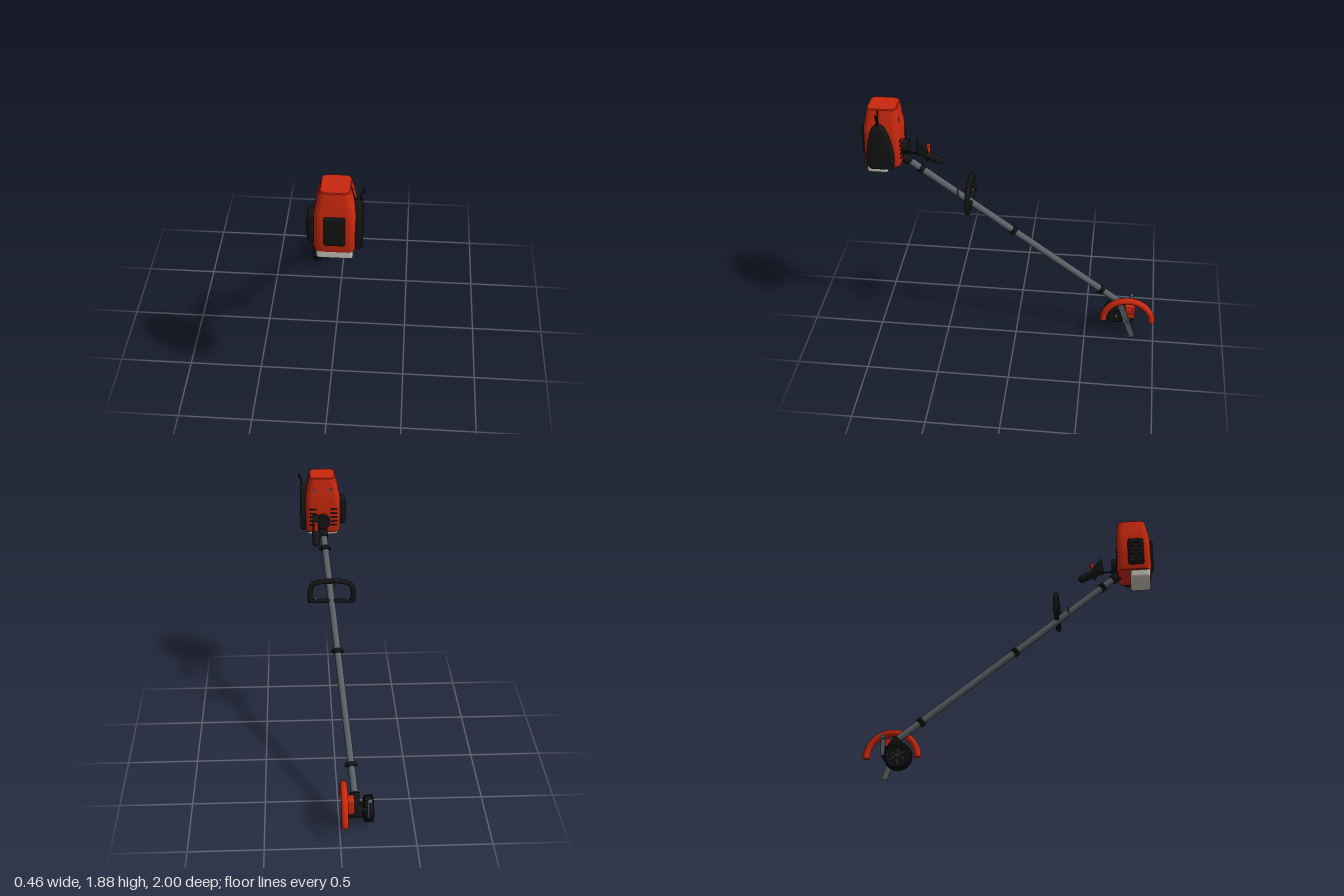
import * as THREE from 'three';
import { toCreasedNormals } from 'three/addons/utils/BufferGeometryUtils.js';
import { RoundedBoxGeometry } from 'three/addons/geometries/RoundedBoxGeometry.js';

const mat = (name, color) => Object.assign(new THREE.MeshStandardMaterial({ color }), { name });
const V = (x, y, z) => new THREE.Vector3(x, y, z);

export function createModel() {
  const red = mat('red shell', 0xcb280e);
  const black = mat('black plastic', 0x141414);
  const steel = mat('grey steel', 0x596065);
  const tankWhite = mat('tank off-white', 0xcbc9c0);
  const hubGrey = mat('dark hub', 0x2b2d2f);

  const model = new THREE.Group();
  const add = (name, geo, material, pos = [0, 0, 0], parent = model) => {
    const m = new THREE.Mesh(geo, material);
    m.name = name;
    m.position.set(...pos);
    parent.add(m);
    return m;
  };
  const box = (name, material, size, pos, r = 0.012, parent = model) =>
    add(name, new RoundedBoxGeometry(...size, 3, r), material, pos, parent);
  // cylinder between two points
  const rod = (name, material, a, b, r, parent = model, sides = 24) => {
    const d = b.clone().sub(a);
    const m = add(name, new THREE.CylinderGeometry(r, r, d.length(), sides), material, a.clone().add(b).multiplyScalar(0.5).toArray(), parent);
    m.quaternion.setFromUnitVectors(V(0, 1, 0), d.normalize());
    return m;
  };
  // outline given in (z, y), extruded along +x from x0
  const sidePlate = (name, material, shape, x0, depth, bevel = 0) => {
    const g = new THREE.ExtrudeGeometry(shape, {
      depth: depth - 2 * bevel, bevelEnabled: bevel > 0, bevelSize: bevel, bevelOffset: -bevel,
      bevelThickness: bevel, bevelSegments: 4, curveSegments: 16,
    });
    g.rotateY(Math.PI / 2);
    return add(name, toCreasedNormals(g, 0.6), material, [x0 + bevel, 0, 0]);
  };
  // rounded-rectangle rings [y, x0, x1, z0, z1, cornerRadius] joined upward and capped
  const loft = (rings) => {
    const n = 8, pos = [], idx = [], count = n * 4;
    for (const [y, x0, x1, z0, z1, r] of rings)
      for (let c = 0; c < 4; c++)
        for (let i = 0; i < n; i++) {
          const a = (c + i / (n - 1)) * Math.PI / 2;
          const cx = c === 0 || c === 3 ? x1 - r : x0 + r, cz = c < 2 ? z1 - r : z0 + r;
          pos.push(cx + r * Math.cos(a), y, cz + r * Math.sin(a));
        }
    for (let k = 0; k < rings.length - 1; k++)
      for (let i = 0; i < count; i++) {
        const a = k * count + i, b = k * count + (i + 1) % count;
        idx.push(a, a + count, b, b, a + count, b + count);
      }
    const top = (rings.length - 1) * count;
    for (let i = 1; i < count - 1; i++) idx.push(0, i, i + 1, top, top + i + 1, top + i);
    const g = new THREE.BufferGeometry();
    g.setAttribute('position', new THREE.Float32BufferAttribute(pos, 3));
    g.setIndex(idx);
    return toCreasedNormals(g, 0.6);
  };

  // Engine housing and fuel tank
  add('engineHousing', loft([
    [1.465, -0.05, 0.16, 0.76, 0.96, 0.035],
    [1.472, -0.064, 0.174, 0.747, 0.975, 0.04],
    [1.49, -0.07, 0.18, 0.74, 0.98, 0.045],
    [1.72, -0.068, 0.178, 0.742, 0.977, 0.045],
    [1.76, -0.062, 0.173, 0.744, 0.973, 0.045],
    [1.875, -0.033, 0.148, 0.755, 0.95, 0.04],
    [1.88, -0.027, 0.142, 0.761, 0.944, 0.035],
  ]), red);
  box('fuelTank', tankWhite, [0.22, 0.075, 0.14], [0.055, 1.45, 0.9], 0.02);
  box('frontGrille', black, [0.125, 0.2, 0.03], [0.057, 1.63, 0.982]);
  box('airFilter', black, [0.05, 0.195, 0.11], [-0.086, 1.6, 0.875], 0.018);
  for (let i = 0; i < 5; i++)
    box('filterRib', black, [0.006, 0.008, 0.08], [-0.111, 1.54 + i * 0.03, 0.875], 0.002);

  // Teardrop side cover
  const tear = new THREE.Shape();
  tear.moveTo(-0.92, 1.47);
  tear.lineTo(-0.81, 1.47);
  tear.bezierCurveTo(-0.77, 1.47, -0.77, 1.54, -0.782, 1.61);
  tear.bezierCurveTo(-0.8, 1.72, -0.825, 1.79, -0.868, 1.79);
  tear.bezierCurveTo(-0.915, 1.79, -0.935, 1.72, -0.948, 1.61);
  tear.bezierCurveTo(-0.96, 1.54, -0.96, 1.47, -0.92, 1.47);
  sidePlate('sideCover', black, tear, 0.165, 0.052, 0.015);

  // Hooked lever and seam above the side cover
  rod('leverArm', black, V(0.2, 1.74, 0.87), V(0.207, 1.83, 0.87), 0.006);
  rod('leverTip', black, V(0.207, 1.83, 0.87), V(0.225, 1.873, 0.87), 0.006);
  rod('leverHook', black, V(0.207, 1.83, 0.87), V(0.222, 1.842, 0.87), 0.005);
  rod('housingSeam', black, V(0.176, 1.755, 0.873), V(0.147, 1.877, 0.873), 0.005);

  // Rear cooling slots and screws
  for (let i = 0; i < 5; i++)
    for (const x of [-0.022, 0.125])
      box('coolingSlot', black, [0.05, 0.011, 0.008], [x, 1.53 + i * 0.03, 0.741], 0.003);
  for (const x of [0, 0.11])
    box('rearScrew', steel, [0.016, 0.03, 0.008], [x, 1.79, 0.748], 0.003);

  // Drive shaft with clamps
  const shaftAt = (z) => V(-0.02 + 0.105 * (z - 0.02), 0.895 + 0.82 * (z - 0.02), z);
  const axis = V(0.105, 0.82, 1).normalize();
  rod('shaft', steel, shaftAt(-0.75), shaftAt(0.76), 0.024);
  for (const z of [0.63, 0.02, -0.605]) {
    const p = shaftAt(z);
    rod('clamp', black, p.clone().addScaledVector(axis, -0.016), p.clone().addScaledVector(axis, 0.016), 0.031);
    rod('clampBolt', black, p.clone().add(V(-0.042, 0, 0)), p.clone().add(V(0.045, 0, 0)), 0.011, model, 12);
  }
  rod('clutchNeck', black, V(0.055, 1.565, 0.7), V(0.055, 1.565, 0.75), 0.05);
  rod('clutchCollar', black, shaftAt(0.7), shaftAt(0.76), 0.032);

  // Loop handle
  const loop = new THREE.CatmullRomCurve3([
    V(-0.14, 1.14, 0.31), V(-0.143, 1.2, 0.31), V(-0.125, 1.262, 0.31), V(-0.075, 1.287, 0.31), V(0.01, 1.293, 0.31),
    V(0.095, 1.287, 0.31), V(0.145, 1.262, 0.31), V(0.163, 1.2, 0.31), V(0.16, 1.14, 0.31)]);
  add('loopHandle', new THREE.TubeGeometry(loop, 48, 0.018, 12), black);
  box('handleBar', black, [0.335, 0.022, 0.032], [0.01, 1.14, 0.31], 0.008);
  for (const x of [-0.1, 0.12]) rod('handleBolt', steel, V(x, 1.14, 0.31), V(x, 1.165, 0.31), 0.009, model, 12);
  add('hangingRing', new THREE.TorusGeometry(0.036, 0.005, 8, 32), steel, [0.018, 1.215, 0.39]);

  // Throttle grip
  const guard = new THREE.Shape([[-0.645, 1.545], [-0.575, 1.545], [-0.56, 1.58], [-0.632, 1.66]].map(p => new THREE.Vector2(...p)));
  sidePlate('throttleGuard', black, guard, 0.088, 0.045, 0.006);
  const grip = add('throttleGrip', new THREE.CapsuleGeometry(0.027, 0.105, 6, 16), black, [0.11, 1.528, 0.535]);
  grip.rotation.x = Math.atan2(0.13, 0.06);
  rod('throttleButton', red, V(0.11, 1.56, 0.565), V(0.11, 1.622, 0.56), 0.014, model, 16);
  rod('throttleTrigger', black, V(0.11, 1.54, 0.6), V(0.11, 1.5, 0.57), 0.01, model, 12);
  rod('throttleLink', black, V(0.12, 1.56, 0.75), V(0.112, 1.552, 0.63), 0.006, model, 12);

  // Gearbox
  rod('gearbox', black, V(-0.15, 0.157, -0.81), V(-0.055, 0.157, -0.81), 0.046);
  rod('gearboxInput', black, shaftAt(-0.75), V(-0.1, 0.17, -0.81), 0.034);
  box('gearboxCover', red, [0.055, 0.11, 0.075], [-0.068, 0.217, -0.82], 0.01);
  rod('bladeSpindle', steel, V(-0.07, 0.157, -0.81), V(-0.008, 0.157, -0.81), 0.014);
  rod('spindleWasher', steel, V(-0.035, 0.157, -0.8), V(-0.018, 0.157, -0.8), 0.026);

  // Cutting blade
  const blade = add('cuttingBlade', new THREE.BoxGeometry(0.009, 0.305, 0.042), steel, [-0.025, 0.155, -0.8]);
  blade.rotation.x = Math.atan2(0.1, 0.29);

  // Arched guard with flat ends
  const arch = new THREE.TorusGeometry(0.174, 0.024, 16, 48, Math.PI);
  arch.rotateY(Math.PI / 2);
  add('bladeGuard', arch, red, [-0.028, 0.16, -0.805]);
  for (const s of [-1, 1]) {
    const cap = new THREE.CircleGeometry(0.024, 16);
    cap.rotateX(Math.PI / 2);
    add('guardEnd', cap, red, [-0.028, 0.16, -0.805 + s * 0.174]);
  }
  box('guardBracket', red, [0.04, 0.05, 0.05], [-0.045, 0.24, -0.815], 0.008);

  // Support wheel with tread blocks and spokes
  const wheel = new THREE.Group();
  wheel.name = 'supportWheel';
  wheel.position.set(-0.197, 0.108, -0.725);
  model.add(wheel);
  const tyre = [[0.055, -0.028], [0.075, -0.034], [0.086, -0.029], [0.089, -0.018], [0.089, 0.018], [0.086, 0.029], [0.075, 0.034], [0.055, 0.028], [0.055, -0.028]];
  const tyreGeo = new THREE.LatheGeometry(tyre.map(p => new THREE.Vector2(...p)), 40);
  tyreGeo.rotateZ(Math.PI / 2);
  add('tyre', toCreasedNormals(tyreGeo, 0.6), black, [0, 0, 0], wheel);
  rod('rimDisc', black, V(-0.016, 0, 0), V(0.016, 0, 0), 0.057, wheel, 32);
  rod('hub', hubGrey, V(-0.034, 0, 0), V(0.034, 0, 0), 0.017, wheel);
  for (let i = 0; i < 24; i++) {
    const a = i / 24 * Math.PI * 2;
    const t = add('treadBlock', new THREE.BoxGeometry(0.05, 0.006, 0.013), black, [0, Math.cos(a) * 0.089, Math.sin(a) * 0.089], wheel);
    t.rotation.x = a;
  }
  for (let i = 0; i < 6; i++) {
    const a = i / 6 * Math.PI * 2;
    const s = add('spoke', new THREE.BoxGeometry(0.042, 0.042, 0.01), hubGrey, [0, Math.cos(a) * 0.034, Math.sin(a) * 0.034], wheel);
    s.rotation.x = a;
  }

  // Wheel axle and height adjuster
  rod('wheelAxle', steel, V(-0.2, 0.108, -0.725), V(-0.12, 0.108, -0.725), 0.01);
  box('axleArm', black, [0.016, 0.04, 0.12], [-0.145, 0.13, -0.765], 0.006);
  box('adjusterPlate', steel, [0.014, 0.13, 0.03], [-0.19, 0.185, -0.83], 0.004);
  rod('adjusterLink', black, V(-0.19, 0.175, -0.825), V(-0.12, 0.165, -0.815), 0.016);
  rod('adjusterKnob', steel, V(-0.215, 0.247, -0.83), V(-0.185, 0.247, -0.83), 0.014, model, 16);

  return model;
}
